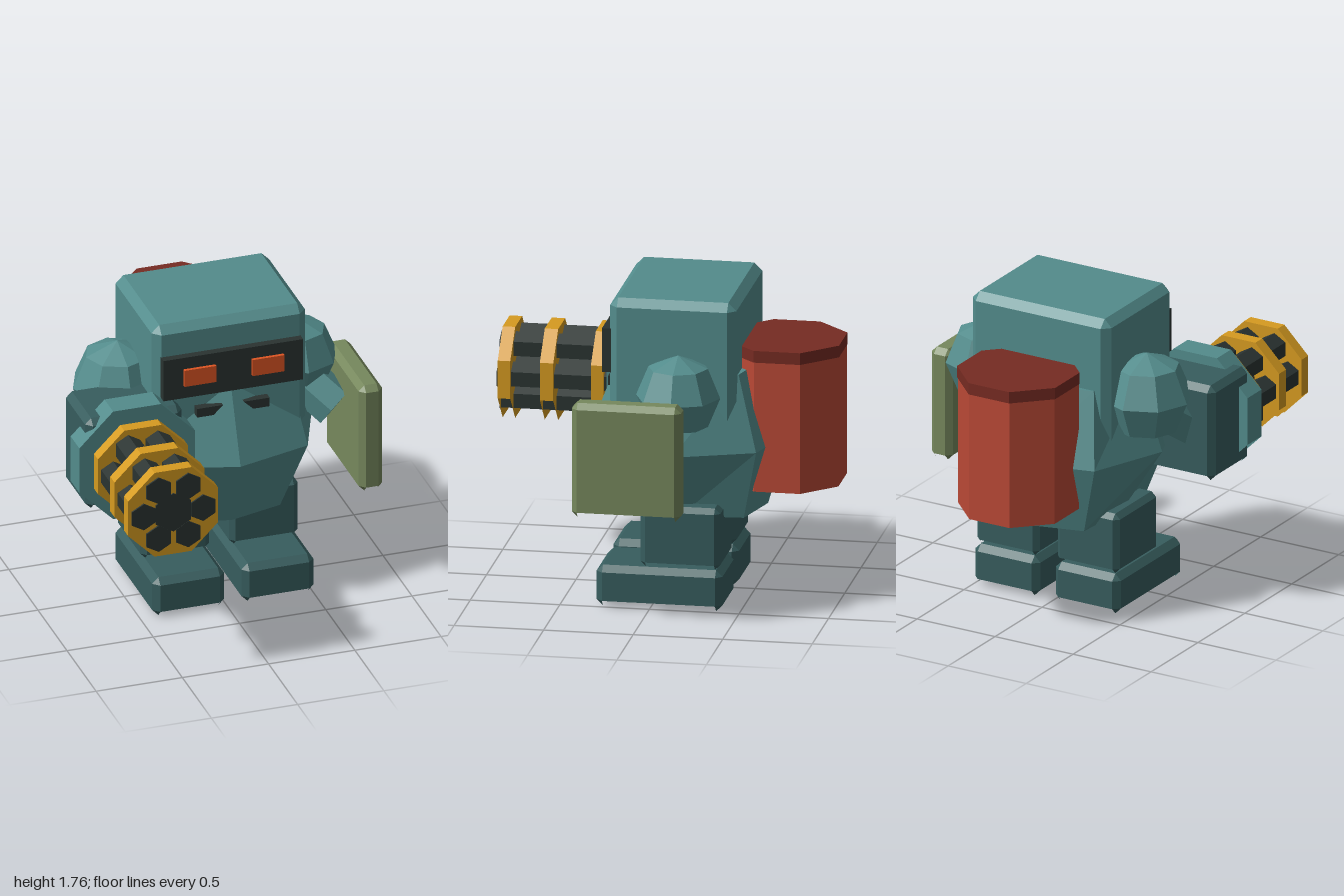
import * as THREE from 'three';

const CX = 0.04; // body centre line

function paint(name, color) {
  const m = new THREE.MeshStandardMaterial({ color, side: THREE.DoubleSide });
  m.name = name;
  return m;
}

// Flat-shaded copy of a geometry, left open wherever it faces the ground
function openUnderside(geometry) {
  const src = (geometry.index ? geometry.toNonIndexed() : geometry).attributes.position;
  const tri = new THREE.Triangle(), n = new THREE.Vector3(), pos = [];
  for (let i = 0; i < src.count; i += 3) {
    tri.setFromAttributeAndIndices(src, i, i + 1, i + 2);
    if (tri.getNormal(n).y < -0.6) continue;
    for (const p of [tri.a, tri.b, tri.c]) pos.push(p.x, p.y, p.z);
  }
  const g = new THREE.BufferGeometry();
  g.setAttribute('position', new THREE.Float32BufferAttribute(pos, 3));
  g.computeVertexNormals();
  return g;
}

// Flat faces of a convex solid, wound outwards from its centre
function solid(faces, centre) {
  const pos = [];
  for (const face of faces) {
    for (let i = 1; i < face.length - 1; i++) {
      const [a, b, c] = [face[0], face[i], face[i + 1]].map(p => new THREE.Vector3(...p));
      const n = b.clone().sub(a).cross(c.clone().sub(a));
      const mid = a.clone().add(b).add(c).divideScalar(3).sub(centre);
      for (const p of n.dot(mid) < 0 ? [a, c, b] : [a, b, c]) pos.push(p.x, p.y, p.z);
    }
  }
  const g = new THREE.BufferGeometry();
  g.setAttribute('position', new THREE.Float32BufferAttribute(pos, 3));
  return g;
}

// Chamfered box with an open bottom; only its lower corners reach y0
function chamferBox([x0, x1], [y0, y1], [z0, z1], c) {
  const rect = y => [[x0 + c, y, z0 + c], [x1 - c, y, z0 + c], [x1 - c, y, z1 - c], [x0 + c, y, z1 - c]];
  const octagon = y => [
    [x0, y, z0 + c], [x0 + c, y, z0], [x1 - c, y, z0], [x1, y, z0 + c],
    [x1, y, z1 - c], [x1 - c, y, z1], [x0 + c, y, z1], [x0, y, z1 - c]];
  const bottom = rect(y0), low = octagon(y0 + c), high = octagon(y1 - c), top = rect(y1);
  const faces = [top];
  for (let i = 0; i < 8; i++) {
    const j = (i + 1) % 8;
    faces.push([low[i], low[j], high[j], high[i]]);
  }
  for (let k = 0; k < 4; k++) {
    const a = 2 * k, b = a + 1, n = (a + 2) % 8;
    faces.push([high[a], high[b], top[k]], [low[a], low[b], bottom[k]]);
    faces.push([high[b], high[n], top[(k + 1) % 4], top[k]]);
  }
  return solid(faces, new THREE.Vector3((x0 + x1) / 2, (y0 + y1) / 2, (z0 + z1) / 2));
}

// Flat-sided prism along z
function prismZ(radius, sides, z0, z1, x, y, turn = 0) {
  return new THREE.CylinderGeometry(radius, radius, z1 - z0, sides)
    .rotateY(turn).rotateX(Math.PI / 2).translate(x, y, (z0 + z1) / 2);
}

// Six-sided bar between two points
function bar(from, to, radius) {
  const a = new THREE.Vector3(...from), b = new THREE.Vector3(...to);
  const mid = a.clone().add(b).multiplyScalar(0.5);
  const turn = new THREE.Quaternion()
    .setFromUnitVectors(new THREE.Vector3(0, 1, 0), b.clone().sub(a).normalize());
  return new THREE.CylinderGeometry(radius, radius, a.distanceTo(b), 6)
    .applyQuaternion(turn).translate(mid.x, mid.y, mid.z);
}

export function createModel() {
  const root = new THREE.Group();
  root.name = 'robot';
  const teal = paint('teal', 0x538c8c);
  const darkTeal = paint('dark teal', 0x375d5e);
  const black = paint('charcoal', 0x2a3331);
  const orange = paint('orange', 0xde5523);
  const gold = paint('gold', 0xd69b20);
  const olive = paint('olive', 0x76885d);
  const red = paint('red', 0xba4936);
  const darkRed = paint('dark red', 0x762b22);

  const add = (name, geometry, material, parent = root) => {
    const mesh = new THREE.Mesh(openUnderside(geometry), material);
    mesh.name = name;
    parent.add(mesh);
  };
  const box = (x, y, z) => new THREE.BoxGeometry(x[1] - x[0], y[1] - y[0], z[1] - z[0])
    .translate((x[0] + x[1]) / 2, (y[0] + y[1]) / 2, (z[0] + z[1]) / 2);

  // Torso: three eight-sided rings
  // y, front z, corner x, front corner z, side x, back corner z, back z
  const rings = [
    [0.507, 0.245, 0.31, 0.16, 0.335, -0.5, -0.58],
    [0.917, 0.4, 0.43, 0.28, 0.6, -0.59, -0.7],
    [1.34, 0.235, 0.36, 0.135, 0.45, -0.48, -0.57],
  ].map(([y, f, cx, fz, sx, bz, b]) => [
    [0, f], [cx, fz], [sx, -0.15], [cx, bz], [0, b], [-cx, bz], [-sx, -0.15], [-cx, fz],
  ].map(([x, z]) => [CX + x, y, z]));
  const torsoFaces = [rings[2]];
  for (let r = 0; r < 2; r++) for (let i = 0; i < 8; i++) {
    const j = (i + 1) % 8;
    torsoFaces.push([rings[r][i], rings[r][j], rings[r + 1][j], rings[r + 1][i]]);
  }
  add('torso', solid(torsoFaces, new THREE.Vector3(CX, 0.92, -0.15)), teal);

  // Head and visor
  add('head', chamferBox([-0.405, 0.485], [1.005, 1.76], [-0.475, 0.23], 0.045), teal);
  add('visor', box([-0.365, 0.445], [1.33, 1.58], [0.22, 0.275]), black);

  for (const s of [-1, 1]) {
    const side = s > 0 ? 'left' : 'right';
    const span = (a, b) => [CX + s * a, CX + s * b].sort((p, q) => p - q);
    add(side + 'Eye', box(span(0.105, 0.29), [1.41, 1.51], [0.27, 0.295]), orange);

    // Vents below the visor
    const vent = new THREE.Shape([[0.06, 1.25], [0.21, 1.25], [0.21, 1.197], [0.115, 1.197]]
      .map(([x, y]) => new THREE.Vector2(CX + s * x, y)));
    add(side + 'Vent', new THREE.ExtrudeGeometry(vent, { depth: 0.08, bevelEnabled: false })
      .translate(0, 0, 0.197), black);

    // Legs
    add(side + 'Leg', chamferBox(span(0.058, 0.456), [0.235, 0.587], [-0.39, 0.055], 0.03), darkTeal);
    add(side + 'Foot', chamferBox(span(0.05, 0.467), [0, 0.235], [-0.403, 0.3], 0.036), darkTeal);
  }

  // Shoulders and arms
  add('leftShoulder', new THREE.SphereGeometry(0.235, 8, 4).translate(0.55, 1.243, -0.17), teal);
  add('rightShoulder', new THREE.SphereGeometry(0.257, 8, 4).translate(-0.48, 1.243, -0.18), teal);
  add('leftArm', bar([0.55, 1.15, -0.13], [0.72, 0.99, 0.02], 0.13), teal);
  add('rightArm', bar([-0.52, 1.17, -0.15], [-0.58, 1.03, 0.05], 0.15), teal);

  // Shield
  add('shield', chamferBox([0.745, 0.882], [0.613, 1.267], [-0.24, 0.37], 0.033), olive);

  // Rotary cannon
  const cannon = new THREE.Group();
  cannon.name = 'cannon';
  root.add(cannon);
  const gx = -0.55, gy = 1.035, flat = Math.PI / 8;
  add('cannonHousing', chamferBox([-0.83, -0.27], [0.755, 1.315], [-0.06, 0.34], 0.035), darkTeal, cannon);
  add('cannonCollar', prismZ(0.362, 8, 0.22, 0.37, gx, gy, flat), teal, cannon);
  for (const [z0, z1] of [[0.4, 0.47], [0.68, 0.755], [0.92, 0.99]])
    add('barrelBand', prismZ(0.282, 8, z0, z1, gx, gy, flat), gold, cannon);
  add('barrelCore', prismZ(0.118, 6, 0.3, 0.998, gx, gy), black, cannon);
  for (let i = 0; i < 6; i++) {
    const a = i * Math.PI / 3;
    add('barrel', prismZ(0.081, 6, 0.3, 1, gx + 0.172 * Math.cos(a), gy + 0.172 * Math.sin(a)), black, cannon);
  }

  // Back tank with a dark lid
  const tank = (r, y0, y1) => new THREE.CylinderGeometry(r, r, y1 - y0, 8).rotateY(flat)
    .translate(CX, (y0 + y1) / 2, -0.685);
  add('tank', tank(0.336, 0.66, 1.4), red);
  add('tankLid', tank(0.34, 1.4, 1.467), darkRed);

  return root;
}
